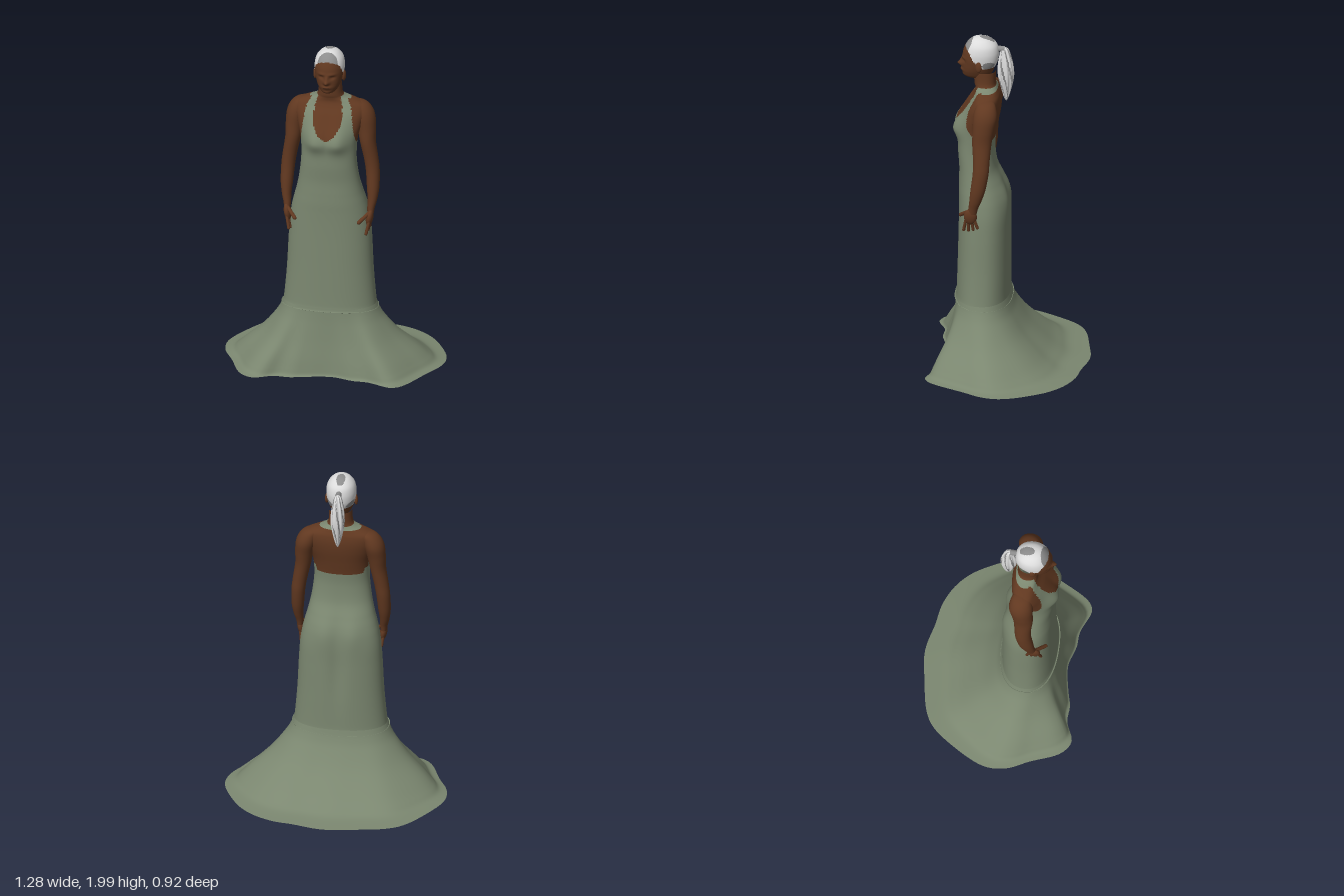
import * as THREE from 'three';

const mat = (name, color, double) => {
  const m = new THREE.MeshStandardMaterial({ color, side: double ? THREE.DoubleSide : THREE.FrontSide });
  m.name = name;
  return m;
};
const CX = -0.012; // the figure stands slightly off the middle of the skirt
const gauss = (d, w) => Math.exp(-(d * d) / (w * w));

// Smooth interpolation through rows of numbers, t from 0 to 1
function sample(rows, t) {
  const f = Math.min(t, 0.99999) * (rows.length - 1), i = Math.floor(f), s = f - i;
  const at = k => rows[Math.max(0, Math.min(rows.length - 1, k))];
  const [a, b, c, d] = [at(i - 1), at(i), at(i + 1), at(i + 2)];
  return b.map((p, k) => p + 0.5 * s * (c[k] - a[k] + s * (2 * a[k] - 5 * p + 4 * c[k] - d[k]
    + s * (3 * (p - c[k]) + d[k] - a[k]))));
}

// Piecewise linear lookup in [[input, output], ...]
function lookup(table, v) {
  if (v <= table[0][0]) return table[0][1];
  for (let i = 1; i < table.length; i++) {
    const [a, b] = [table[i - 1], table[i]];
    if (v <= b[0]) return THREE.MathUtils.lerp(a[1], b[1], (v - a[0]) / (b[0] - a[0]));
  }
  return table[table.length - 1][1];
}

// Closed rings stacked upwards; pick() chooses a material index for each quad
function loft(name, n, nv, point, materials, pick = () => 0) {
  const pos = [], sets = materials.map(() => []);
  for (let j = 0; j <= nv; j++)
    for (let i = 0; i < n; i++) pos.push(...point((i / n) * Math.PI * 2, j / nv));
  const mid = (a, c) => [0, 1, 2].map(k => (pos[a * 3 + k] + pos[c * 3 + k]) / 2);
  for (let j = 0; j < nv; j++)
    for (let i = 0; i < n; i++) {
      const k = (i + 1) % n, a = j * n + i, b = j * n + k, c = b + n, d = a + n;
      sets[pick(...mid(a, c), i)].push(a, b, c, a, c, d);
    }
  const g = new THREE.BufferGeometry();
  g.setAttribute('position', new THREE.Float32BufferAttribute(pos, 3));
  g.setIndex(sets.flat());
  let start = 0;
  sets.forEach((s, m) => { g.addGroup(start, s.length, m); start += s.length; });
  g.computeVertexNormals();
  const mesh = new THREE.Mesh(g, materials);
  mesh.name = name;
  return mesh;
}

// Point on a rounded ring [y, half width, back z, front z]
function ring([y, hw, zb, zf], a, e = 2) {
  const p = v => Math.sign(v) * Math.abs(v) ** (2 / e);
  return [CX + Math.max(hw, 0) * p(Math.sin(a)), y, (zb + zf) / 2 + Math.max(zf - zb, 0) / 2 * p(Math.cos(a))];
}

// Torso and upper dress: y, half width, back, front
const TORSO = [
  [0.385, 0.283, -0.008, 0.322], [0.405, 0.27, 0, 0.312], [0.6, 0.252, 0, 0.305], [0.8, 0.242, 0, 0.3],
  [0.92, 0.234, 0.001, 0.298], [1.0, 0.222, 0.009, 0.298], [1.06, 0.208, 0.024, 0.299], [1.12, 0.192, 0.048, 0.298],
  [1.2, 0.175, 0.08, 0.297], [1.3, 0.162, 0.092, 0.304], [1.38, 0.16, 0.088, 0.303], [1.46, 0.167, 0.075, 0.296],
  [1.54, 0.19, 0.06, 0.268], [1.6, 0.208, 0.055, 0.242], [1.645, 0.205, 0.06, 0.215], [1.672, 0.155, 0.07, 0.204],
  [1.695, 0.09, 0.08, 0.205], [1.72, 0.07, 0.088, 0.211], [1.79, 0.066, 0.088, 0.215]];
const HEAD = [
  [1.738, 0, 0.17, 0.2], [1.746, 0.03, 0.14, 0.245], [1.76, 0.048, 0.12, 0.27], [1.785, 0.062, 0.105, 0.28],
  [1.81, 0.072, 0.095, 0.281], [1.84, 0.08, 0.08, 0.281], [1.87, 0.085, 0.072, 0.281], [1.91, 0.086, 0.07, 0.276],
  [1.95, 0.077, 0.08, 0.26], [1.98, 0.055, 0.108, 0.235], [1.994, 0.03, 0.138, 0.21], [2.0, 0, 0.175, 0.175]];
// Arm: y, x, z, radius x, radius z
const ARM = [
  [0.985, 0.243, 0.2, 0.018, 0.026], [1.02, 0.245, 0.193, 0.022, 0.028], [1.07, 0.251, 0.18, 0.028, 0.035],
  [1.14, 0.252, 0.165, 0.036, 0.043], [1.24, 0.247, 0.15, 0.04, 0.046], [1.32, 0.236, 0.147, 0.042, 0.048],
  [1.42, 0.218, 0.146, 0.046, 0.056], [1.5, 0.21, 0.138, 0.053, 0.062], [1.57, 0.198, 0.13, 0.06, 0.069],
  [1.62, 0.182, 0.128, 0.057, 0.062], [1.655, 0.16, 0.128, 0.043, 0.044], [1.672, 0.142, 0.128, 0, 0]];
// Outline of the hem (x, z) from the front middle round by the left side
const HEM = [
  [0, 0.37], [0.055, 0.37], [0.16, 0.4], [0.25, 0.405], [0.365, 0.45], [0.4, 0.455], [0.45, 0.425], [0.57, 0.21],
  [0.62, 0.12], [0.64, 0.035], [0.63, -0.045], [0.58, -0.16], [0.51, -0.27], [0.42, -0.35], [0.3, -0.405],
  [0.18, -0.425], [0.055, -0.455], [-0.02, -0.46], [-0.15, -0.44], [-0.36, -0.395], [-0.45, -0.34],
  [-0.575, -0.165], [-0.635, -0.04], [-0.645, 0.03], [-0.63, 0.12], [-0.575, 0.23], [-0.5, 0.4], [-0.44, 0.45],
  [-0.4, 0.455], [-0.3, 0.413], [-0.2, 0.415], [-0.145, 0.4]];
// Flare: y, spread at the sides, spread at the back
const FLARE = [
  [0.008, 1, 1], [0.02, 0.87, 0.75], [0.05, 0.78, 0.61], [0.1, 0.645, 0.46], [0.2, 0.36, 0.24],
  [0.3, 0.145, 0.09], [0.36, 0.05, 0.03], [0.41, 0, 0]];
const STRAP_IN = [[1.47, 0], [1.482, 0.03], [1.51, 0.056], [1.55, 0.077], [1.6, 0.084], [1.65, 0.08], [1.7, 0.066]];
const STRAP_OUT = [[1.4, 0.2], [1.44, 0.162], [1.5, 0.152], [1.6, 0.138], [1.65, 0.128], [1.7, 0.098]];
const HAIRLINE = [[0.15, 1.82], [0.19, 1.85], [0.215, 1.88], [0.235, 1.92], [0.262, 1.945]];

export function createModel() {
  const group = new THREE.Group();
  const dress = mat('sage dress', 0x7b8770, true), skin = mat('brown skin', 0x613820);
  const hair = mat('white hair', 0xdcdcdc), grey = mat('grey hair', 0x8c8c8c);
  const dark = mat('dark brown', 0x2a1810);

  // Flared skirt with a train
  const hem = new THREE.CatmullRomCurve3(HEM.map(([x, z]) => new THREE.Vector3(x, 0, z)), true);
  const hemPoints = hem.getSpacedPoints(128);
  group.add(loft('flaredSkirt', 128, 44, (a, v) => {
    const [y, side, back] = sample(FLARE, v), f = THREE.MathUtils.lerp(side, back, Math.max(0, -Math.cos(a)));
    const [x, , z] = ring(TORSO[1], a, 2.3), h = hemPoints[Math.round(a / Math.PI * 64) % 128];
    return [x + (h.x - x) * f, y, z + (h.z - z) * f];
  }, [dress]));

  // Torso: fitted dress with open back and halter straps, bare skin elsewhere
  group.add(loft('torsoAndDress', 136, 230, (a, v) => {
    const p = ring(sample(TORSO, v), a, 2.3), dx = Math.abs(p[0] - CX), c = Math.cos(a), y = p[1];
    if (c > 0) { // bust
      const across = 0.75 * gauss(dx - 0.075, 0.055) + 0.4 * gauss(dx, 0.06);
      p[2] += 0.042 * across * gauss(y - 1.452, y > 1.452 ? 0.11 : 0.06) * Math.min(1, c * 2);
    } else { // seat, with a soft fold running down the middle
      p[2] += c * 0.01 * gauss(dx - 0.09, 0.06) * gauss(y - 1.03, 0.1);
      p[2] -= c * 0.016 * gauss(dx, 0.05) * gauss(y - 0.82, 0.25);
      p[2] += c * 0.006 * gauss(y - 0.39, 0.012);
    }
    if (y < 0.41) p[1] += 0.008 * c; // seam dips at the back
    return p;
  }, [dress, skin], (x, y, z) => {
    const dx = Math.abs(x - CX);
    if (y < 1.385) return 0;
    if (z > 0.16) return y < 1.703 && dx >= lookup(STRAP_IN, y) && dx < lookup(STRAP_OUT, y) ? 0 : 1;
    if (y < 1.42 && z > 0.13) return 0;
    return y > 1.684 && y < 1.704 ? 0 : 1;
  }));

  // Head with modelled face and close-cropped cap of hair
  group.add(loft('head', 80, 96, (a, v) => {
    const p = ring(sample(HEAD, v), a, 2.1), [x, y] = p, dx = Math.abs(x - CX);
    if (Math.cos(a) > 0.2) {
      p[2] += 0.026 * gauss(dx, 0.016) * gauss(y - 1.827, 0.014) + 0.012 * gauss(dx, 0.011) * gauss(y - 1.848, 0.018)
        + 0.01 * gauss(dx, 0.024) * gauss(y - 1.795, 0.012) + 0.006 * gauss(dx, 0.025) * gauss(y - 1.762, 0.012)
        + 0.005 * gauss(dx - 0.03, 0.025) * gauss(y - 1.876, 0.009)
        - 0.009 * gauss(dx - 0.032, 0.016) * gauss(y - 1.856, 0.011);
    }
    return p;
  }, [skin, hair, grey], (x, y, z) => {
    const dx = x - CX, inside = (u, v) => u * u + v * v < 1;
    if (y < lookup(HAIRLINE, z)) return 0;
    const crown = y > 1.96 && inside((dx + 0.002) / 0.026, (z - 0.138) / 0.044);
    const front = y > 1.9 && inside(dx / 0.062, (z - 0.243) / 0.025);
    const nape = inside((y - 1.842) / 0.024, (z - 0.125) / 0.034);
    return crown || front || nape ? 2 : 1;
  }));

  // Ponytail: y, radius, z
  const TAIL = [[1.6, 0, 0.028], [1.62, 0.012, 0.028], [1.68, 0.029, 0.028], [1.76, 0.044, 0.03],
    [1.83, 0.042, 0.032], [1.89, 0.031, 0.034], [1.925, 0.021, 0.038], [1.942, 0, 0.045]];
  group.add(loft('ponytail', 54, 40, (a, v) => {
    const [y, r, z] = sample(TAIL, v), k = Math.max(r, 0) * (1 + 0.1 * Math.cos(9 * a + y * 12));
    return [CX + k * 0.85 * Math.sin(a), y, z + k * Math.cos(a)];
  }, [hair, grey], (x, y, z, i) => ((i + Math.floor(y * 40)) % 9 < 2 ? 1 : 0)));

  const add = (name, geo, m, x, y, z, sx = 1, sy = 1, sz = 1) => {
    const mesh = new THREE.Mesh(geo, m);
    mesh.name = name;
    mesh.position.set(CX + x, y, z);
    mesh.scale.set(sx, sy, sz);
    group.add(mesh);
    return mesh;
  };
  const ball = new THREE.SphereGeometry(1, 20, 14);
  add('hairTie', new THREE.CylinderGeometry(0.016, 0.018, 0.06, 14), grey, 0, 1.925, 0.068).rotation.x = Math.PI / 2;
  add('mouth', ball, dark, 0, 1.795, 0.2895, 0.018, 0.0015, 0.003);

  // Tapered finger through two points
  const finger = (name, a, b, r) => {
    const p = new THREE.Vector3(...a), q = new THREE.Vector3(...b), d = q.clone().sub(p);
    const c = p.clone().add(q).multiplyScalar(0.5);
    add(name, new THREE.CapsuleGeometry(r, d.length(), 4, 10), skin, c.x, c.y, c.z)
      .quaternion.setFromUnitVectors(new THREE.Vector3(0, 1, 0), d.normalize());
  };

  for (const s of [-1, 1]) {
    const side = s > 0 ? 'left' : 'right';
    group.add(loft(side + 'Arm', 32, 66, (a, v) => {
      const [y, x, z, rx, rz] = sample(ARM, v);
      return [CX + s * x + Math.max(rx, 0) * Math.sin(a), y, z + Math.max(rz, 0) * Math.cos(a)];
    }, [skin]));
    // Hand with spread fingers and a thumb turned in
    add(side + 'Palm', ball, skin, s * 0.24, 0.965, 0.21, 0.021, 0.052, 0.038).rotation.z = -s * 0.15;
    [[0.226, 0.25, 0.874], [0.222, 0.222, 0.87], [0.228, 0.195, 0.878], [0.234, 0.17, 0.892]].forEach(([x, z, y], i) =>
      finger(side + 'Finger' + (i + 1), [s * 0.24, 0.945, 0.236 - i * 0.016], [s * x, y + 0.002, z], 0.009));
    finger(side + 'Thumb', [s * 0.236, 0.995, 0.224], [s * 0.187, 0.953, 0.272], 0.011);
    // Ear, eye and brow
    add(side + 'Ear', ball, skin, s * 0.084, 1.838, 0.18, 0.011, 0.033, 0.019).rotation.y = -s * 0.3;
    add(side + 'Eye', ball, dark, s * 0.032, 1.855, 0.2585, 0.011, 0.004, 0.006);
    add(side + 'Brow', ball, dark, s * 0.034, 1.877, 0.27, 0.016, 0.0025, 0.004).rotation.y = s * 0.35;
  }
  return group;
}
